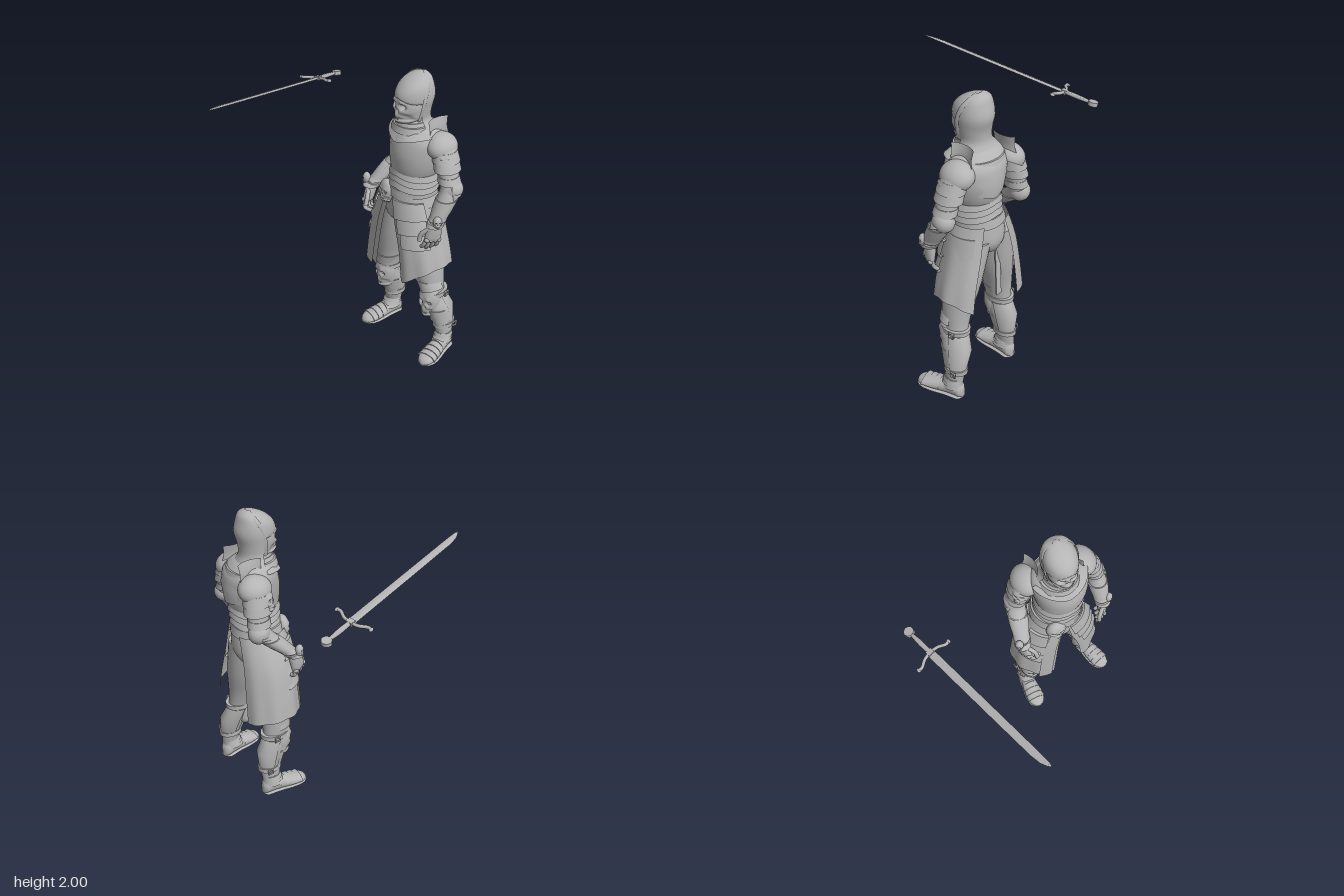
import * as THREE from 'three';
import { toCreasedNormals } from 'three/addons/utils/BufferGeometryUtils.js';

const metal = new THREE.MeshStandardMaterial({ color: 0xb4b4b4, side: THREE.DoubleSide });
metal.name = 'plain grey';
const D = Math.PI / 180;

function add(parent, name, geo, pos = [0, 0, 0], rot = [0, 0, 0], scale = [1, 1, 1]) {
  const m = new THREE.Mesh(geo, metal);
  m.name = name;
  m.position.set(...pos); m.rotation.set(...rot); m.scale.set(...scale);
  parent.add(m);
}

// Skin over elliptical rings [x, y, z, rx, rz, sideLift]; angle 0 faces +z, 90 faces +x.
function loft(rings, { a0 = 0, a1 = 360, sides = 32, steps = 4, yaw = 0, fold = 0 } = {}) {
  const full = a1 - a0 === 360, pos = [], idx = [], rows = [];
  const at = (i, k) => rings[Math.min(Math.max(i, 0), rings.length - 1)][k] || 0;
  for (let i = 0; i < rings.length - 1; i++) for (let s = 0; s < steps; s++) {
    const t = s / steps;
    rows.push([0, 1, 2, 3, 4, 5].map(k => {
      const [p, q, r, u] = [at(i - 1, k), at(i, k), at(i + 1, k), at(i + 2, k)];
      return steps === 1 ? q : q + 0.5 * t * (r - p + t * (2 * p - 5 * q + 4 * r - u + t * (3 * (q - r) + u - p)));
    }));
  }
  rows.push([0, 1, 2, 3, 4, 5].map(k => at(rings.length - 1, k)));
  const n = full ? sides : sides + 1;
  rows.forEach(([x, y, z, rx, rz, lift], j) => {
    for (let i = 0; i < n; i++) {
      const a = (a0 + (a1 - a0) * i / sides) * D;
      const w = 1 + fold * (j / rows.length) * Math.sin(a * 9);
      const lx = rx * w * Math.sin(a), lz = rz * w * Math.cos(a), c = Math.cos(yaw), s = Math.sin(yaw);
      pos.push(x + lx * c + lz * s, y + lift * Math.abs(Math.sin(a)), z + lz * c - lx * s);
    }
  });
  for (let j = 0; j < rows.length - 1; j++) for (let i = 0; i < sides; i++) {
    const a = j * n + i, b = j * n + (i + 1) % n;
    idx.push(a, a + n, b, b, a + n, b + n);
  }
  if (full) [0, rows.length - 1].forEach(j => {
    const c = pos.length / 3;
    pos.push(...rows[j].slice(0, 3));
    for (let i = 0; i < sides; i++) {
      const a = j * n + i, b = j * n + (i + 1) % n;
      j ? idx.push(c, b, a) : idx.push(c, a, b);
    }
  });
  const g = new THREE.BufferGeometry();
  g.setAttribute('position', new THREE.Float32BufferAttribute(pos, 3));
  // rings listed upward need reversed corners
  if (rings[0][1] < rings[rings.length - 1][1]) for (let i = 0; i < idx.length; i += 3) [idx[i], idx[i + 1]] = [idx[i + 1], idx[i]];
  g.setIndex(idx);
  return toCreasedNormals(g, 0.9);
}

// Plate band: a loft whose rims turn inward
function band(rings, opt = {}) {
  const lip = r => [r[0], r[1], r[2], r[3] * 0.86, r[4] * 0.86, r[5]];
  return loft([lip(rings[0]), ...rings, lip(rings[rings.length - 1])], { steps: 1, ...opt });
}

// Skull face: a sphere pressed in at the eyes, nose and cheeks, with a squared jaw
function skullGeometry() {
  const g = new THREE.SphereGeometry(1, 56, 44), p = g.attributes.position;
  for (let i = 0; i < p.count; i++) {
    let x = p.getX(i), y = p.getY(i), z = p.getZ(i);
    const dent = (cx, cy, w) => Math.exp(-(((Math.abs(x) - cx) / 1.3) ** 2 + (y - cy) ** 2) / w);
    const jaw = THREE.MathUtils.smoothstep(-y, 0.3, 0.8);
    if (z > 0) {
      z += 0.12 * dent(0.4, 0.26, 0.02) + 0.1 * dent(0.6, -0.22, 0.02) + 0.4 * jaw * (1 - Math.abs(x));
      z -= 0.42 * dent(0.4, 0.02, 0.02) + 0.2 * dent(0, -0.25, 0.01) + 0.2 * dent(0.65, -0.5, 0.03);
      z -= 0.14 * Math.exp(-((y + 0.62) ** 2) / 0.003);
    }
    p.setXYZ(i, x * (1 + 0.18 * jaw), y, z);
  }
  g.computeVertexNormals();
  return g;
}
const skullGeo = skullGeometry();
const toothGeo = new THREE.BoxGeometry(0.1, 0.17, 0.1);

function skull(parent, name, pos, scale, yaw, pitch = 0) {
  const g = new THREE.Group();
  g.name = name;
  g.position.set(...pos); g.scale.set(...scale); g.rotation.set(pitch, yaw, 0, 'YXZ');
  add(g, 'skullFace', skullGeo);
  for (let i = -2; i <= 2; i++) add(g, 'tooth', toothGeo, [i * 0.14, -0.6, 0.95 - 0.05 * i * i]);
  parent.add(g);
}

// Hand hanging from the wrist; curl bends the fingers, side is the thumb's x direction
function hand(parent, name, pos, rot, side, curl) {
  const g = new THREE.Group();
  g.name = name; g.position.set(...pos); g.rotation.set(...rot); g.scale.setScalar(1.15);
  add(g, 'palm', loft([[0, 0.01, 0, .028, .034], [0, -.03, 0, .03, .042], [0, -.09, 0, .024, .048], [0, -.105, 0, .015, .04]], { sides: 16 }));
  const digit = (n, pts, r) => add(g, n, new THREE.TubeGeometry(new THREE.CatmullRomCurve3(pts.map(p => new THREE.Vector3(...p))), 8, r, 8));
  for (let i = 0; i < 4; i++) {
    const z = 0.035 - i * 0.023, l = 0.085 - Math.abs(i - 1.2) * 0.01;
    digit('finger', [[0, -.09, z], [side * .012, -.1 - l * .5, z * 1.15], [side * (.012 + curl), -.1 - l * (1 - curl * 9), z * 1.15]], 0.0115);
    add(g, 'knuckle', new THREE.SphereGeometry(0.015, 10, 8), [-side * .008, -.095, z]);
  }
  digit('thumb', [[0, -.03, .03], [side * .02, -.07, .06], [side * .025, -.115, .065]], 0.0135);
  parent.add(g);
}

function head(k) {
  const g = new THREE.Group(); g.name = 'head';
  add(g, 'helmDome', loft([[.315, 1.995, -.425, .012, .01], [.315, 1.98, -.415, .055, .05], [.315, 1.945, -.395, .088, .09],
    [.315, 1.9, -.385, .104, .12], [.315, 1.865, -.382, .106, .13, -.03], [.315, 1.855, -.382, .09, .115, -.03]], { yaw: -.12 }));
  skull(g, 'faceMask', [.31, 1.805, -.35], [.094, .125, .1], -.15);
  add(g, 'hood', loft([[.315, 2, -.43, .02, .014], [.315, 1.975, -.43, .07, .05], [.315, 1.93, -.41, .1, .088], [.315, 1.86, -.395, .113, .118],
    [.313, 1.78, -.39, .105, .106], [.31, 1.71, -.395, .1, .1], [.31, 1.66, -.41, .13, .11]], { a0: 82, a1: 278, yaw: -.12 }));
  add(g, 'hoodCrest', loft([[.315, 2.0, -.425, .022, .014], [.315, 1.975, -.42, .074, .04], [.315, 1.93, -.4, .106, .05], [.315, 1.86, -.375, .116, .05],
    [.313, 1.78, -.365, .108, .05], [.31, 1.71, -.36, .09, .05]], { a0: 75, a1: 285, yaw: -.12 }));
  add(g, 'neck', loft([[.31, 1.8, -.39, .08, .085], [.31, 1.7, -.385, .083, .093], [.31, 1.6, -.41, .1, .11]]));
  [[1.7, .088, .105], [1.683, .1, .112], [1.66, .125, .125]].forEach(([y, rx, rz]) =>
    add(g, 'gorgetLame', band([[.308, y + .012, -.385, rx - .006, rz - .006], [.308, y - .03, -.392, rx + .012, rz + .012]])));
  k.add(g);
}

function torso(k) {
  const g = new THREE.Group(), yaw = -.13; g.name = 'torso';
  add(g, 'breastplate', loft([[.31, 1.68, -.41, .09, .09], [.315, 1.65, -.42, .15, .12], [.33, 1.59, -.425, .19, .16], [.335, 1.5, -.42, .185, .178],
    [.335, 1.42, -.415, .172, .172], [.33, 1.36, -.412, .157, .158], [.33, 1.33, -.412, .14, .14]], { sides: 40, yaw }));
  add(g, 'chestCollar', band([[.315, 1.645, -.415, .15, .135], [.325, 1.57, -.42, .187, .18, .06]], { a0: -80, a1: 80, yaw }));
  add(g, 'backplate', band([[.32, 1.63, -.43, .16, .14], [.335, 1.52, -.43, .175, .175], [.335, 1.4, -.425, .163, .168, .04]], { a0: 110, a1: 250, yaw }));
  add(g, 'waist', loft([[.33, 1.38, -.412, .145, .145], [.325, 1.27, -.41, .15, .148], [.31, 1.15, -.415, .165, .16], [.3, 1.05, -.42, .165, .16], [.29, .98, -.43, .1, .12]]));
  [[1.375, .16, .162], [1.33, .157, .159], [1.285, .158, .16]].forEach(([y, rx, rz], i) =>
    add(g, 'waistLame', band([[.33 - i * .004, y + .02, -.412, rx - .008, rz - .008, -.03], [.328 - i * .005, y - .035, -.412, rx + .006, rz + .005, -.03]])));
  add(g, 'belt', band([[.308, 1.235, -.413, .162, .16], [.303, 1.175, -.415, .172, .168]]));
  skull(g, 'beltSkull', [.225, 1.18, -.275], [.066, .078, .045], -.2);
  add(g, 'groinCloth', loft([[.25, 1.1, -.4, .09, .14], [.25, 1.0, -.4, .075, .12], [.26, .92, -.42, .03, .06]]));
  add(g, 'rearCloth', new THREE.BoxGeometry(.045, .44, .008), [.238, .83, -.53], [.06, 0, 0]);
  k.add(g);
}

function skirt(k) {
  const g = new THREE.Group(); g.name = 'skirt';
  const L = [[.315, 1.2, -.415, .17, .168], [.35, 1.0, -.42, .185, .178], [.405, .8, -.425, .185, .186], [.435, .57, -.43, .178, .19, .14]];
  const R = [[.27, 1.2, -.415, .145, .168], [.22, 1.0, -.42, .18, .178], [.195, .8, -.425, .195, .188], [.175, .59, -.43, .195, .195, .05]];
  add(g, 'leftSkirtPanel', loft(L, { a0: -6, a1: 148, fold: .025, sides: 48 }));
  add(g, 'rightSkirtPanel', loft(R, { a0: -172, a1: 4, fold: .025, sides: 48 }));
  add(g, 'frontStrip', loft(R.map(([x, y, z, a, b]) => [x, y, z, a + .012, b + .014]), { a0: -30, a1: -4, sides: 10 }));
  // overlapping thigh lames
  for (let i = 0; i < 3; i++) {
    const y = 1.17 - i * .1, x = .32 + i * .022;
    add(g, 'leftThighLame', band([[x, y, -.415, .183, .18], [x + .03, y - .13, -.42, .2, .196, .03]], { a0: -2 + i * 5, a1: 66 }));
    const u = .25 - i * .02;
    add(g, 'rightThighLame', band([[u, y - .03, -.415, .17, .185], [u - .02, y - .15, -.42, .19, .203, .02]], { a0: -78, a1: -32 }));
  }
  add(g, 'leftHipPlate', band([[.32, 1.13, -.42, .185, .18], [.36, .9, -.42, .195, .19]], { a0: 75, a1: 130 }));
  k.add(g);
}

// Leg rings from hip to ankle; o is the outer direction in x
function leg(k, name, xs, o, footYaw) {
  const g = new THREE.Group(); g.name = name;
  const ys = [1.08, .8, .6, .45, .35, .22, .08];
  const shape = [[-.43, .105, .14], [-.43, .11, .125], [-.43, .087, .1], [-.44, .068, .09], [-.475, .073, .1], [-.495, .056, .072], [-.5, .045, .055]];
  const ring = (i, e = 0) => [xs[i], ys[i], shape[i][0], shape[i][1] + e, shape[i][2] + e];
  add(g, 'trouserAndGreave', loft(ys.map((_, i) => ring(i)), { sides: 28 }));
  add(g, 'shinPlate', band([ring(4, .006), ring(5, .006), [xs[6], .13, -.5, .05, .06]], { a0: -80, a1: 80 }));
  add(g, 'calfPlate', band([ring(3, .006), ring(4, .008), ring(5, .006)], { a0: 95, a1: 265 }));
  add(g, 'kneeCuff', band([[xs[2], .58, -.425, .085, .1], [xs[3], .5, -.435, .08, .1, .03]], { a0: -100, a1: 100 }));
  skull(g, 'kneeSkull', [xs[3] + o * .003, .42, -.41], [.075, .135, .072], footYaw * .8, .12);
  add(g, 'kneePoint', new THREE.ConeGeometry(.05, .12, 4), [xs[4], .29, -.405], [Math.PI + .1, 0, 0], [1, 1, .5]);
  [[.475, 3, .012], [.215, 5, .01]].forEach(([y, i, e]) => {
    const r = ring(i, e);
    add(g, 'legStrap', band([[r[0], y + .016, r[2] - .005, r[3], r[4]], [r[0], y - .016, r[2] - .005, r[3], r[4]]]));
    add(g, 'strapBuckle', new THREE.TorusGeometry(.022, .007, 6, 4), [r[0] + o * (r[3] + .003), y, r[2] - .04], [0, Math.PI / 2, Math.PI / 4]);
  });
  // foot, built along its length and laid flat
  const f = new THREE.Group(); f.name = 'foot';
  f.position.set(xs[6], 0, -.5); f.rotation.set(Math.PI / 2, 0, -footYaw);
  const rows = [[-.065, .02, .04], [-.045, .043, .055], [0, .046, .062], [.06, .05, .053], [.13, .06, .04], [.2, .06, .03], [.245, .04, .022], [.262, .012, .012]];
  add(f, 'boot', loft(rows.map(([y, w, h]) => [0, y, -h, w, h]), { sides: 24 }));
  [[.07, .052, .053], [.11, .059, .046], [.15, .063, .04], [.19, .064, .034]].forEach(([y, w, h]) =>
    add(f, 'footLame', band([[0, y - .02, -h, w - .003, h + .003], [0, y + .02, -h + .003, w + .003, h]], { a0: 85, a1: 275 })));
  add(f, 'sole', loft(rows.map(([y, w]) => [0, y, -.009, w + .006, .009]), { sides: 16 }));
  g.add(f);
  [.15, .125, .1].forEach((y, i) => add(g, 'ankleLame', band([[xs[6], y, -.495, .052, .06], [xs[6], y - .03, -.49 + i * .004, .06, .068 + i * .005]])));
  k.add(g);
}

// Arm from shoulder a through elbow b to wrist c
function arm(k, name, a, b, c, o, skullYaw, handRot, curl) {
  const g = new THREE.Group(); g.name = name;
  const mix = (p, q, t, e, f) => [0, 1, 2].map(i => p[i] + (q[i] - p[i]) * t).concat(e, f);
  add(g, 'armSleeve', loft([mix(a, b, -.1, .05, .06), mix(a, b, .1, .072, .082), mix(a, b, .5, .063, .072), mix(a, b, .9, .057, .065),
    mix(b, c, .15, .059, .067), mix(b, c, .45, .06, .065), mix(b, c, .85, .044, .048), mix(b, c, 1.05, .035, .04)], { sides: 24 }));
  add(g, 'pauldron', new THREE.SphereGeometry(1, 28, 20, 0, 6.2832, 0, 1.9), [a[0] - o * .015, a[1] - .025, a[2]], [0, 0, -o * .55], [.096, .083, .108]);
  [0, 1].forEach(i => add(g, 'shoulderLame', band([mix(a, b, .12 + i * .2, .073, .085), mix(a, b, .36 + i * .2, .08 - i * .005, .092)])));
  skull(g, 'shoulderSkull', [a[0] + o * .042, a[1] - .085, a[2] + .035], [.056, .078, .048], skullYaw, -.15);
  // upright guard between the shoulder and the neck
  add(g, 'shoulderGuard', loft([[a[0] - o * .02, a[1] + .14, a[2], .065, .1], [a[0] - o * .02, a[1] + .08, a[2], .052, .09], [a[0], a[1] + .03, a[2], .07, .1]],
    { a0: -o * 90 - 55, a1: -o * 90 + 55, sides: 14 }));
  add(g, 'elbowCop', new THREE.SphereGeometry(1, 20, 14), [b[0] + o * .006, b[1], b[2] - .01], [0, 0, 0], [.064, .068, .07]);
  add(g, 'elbowWing', new THREE.ConeGeometry(.05, .11, 4), [b[0] + o * .036, b[1] + .02, b[2] + .02], [.3, .6, o * .2], [.7, 1, 1]);
  add(g, 'upperArmBand', band([mix(a, b, .68, .064, .072), mix(a, b, .84, .068, .076)]));
  add(g, 'vambrace', band([mix(b, c, .25, .067, .072), mix(b, c, .55, .062, .066), mix(b, c, .85, .05, .054)]));
  [.8, .97].forEach(t => add(g, 'wristRing', band([mix(b, c, t - .05, .054, .057), mix(b, c, t + .06, .054, .057)])));
  skull(g, 'wristSkull', [c[0] + o * .035, c[1] + .04, c[2] + .02], [.028, .038, .026], skullYaw);
  hand(g, 'hand', c, handRot, -o, curl);
  k.add(g);
}

function sword(root) {
  const g = new THREE.Group(); g.name = 'sword';
  const dir = new THREE.Vector3(.188, .155, .974).normalize();
  const side = new THREE.Vector3(.967, .158, -.197);
  side.addScaledVector(dir, -side.dot(dir)).normalize();
  g.quaternion.setFromRotationMatrix(new THREE.Matrix4().makeBasis(side, dir, side.clone().cross(dir)));
  g.position.set(-.587, 1.638, -.37);
  // blade of diamond section
  add(g, 'blade', loft([[0, 0, 0, .025, .007], [0, .5, 0, .025, .006], [0, .9, 0, .024, .005], [.003, .97, 0, .02, .004], [.009, 1.01, 0, .012, .003], [.014, 1.035, 0, .001, .001]], { sides: 4, steps: 1 }));
  const v = (x, y) => new THREE.Vector3(x, y, 0);
  add(g, 'guard', new THREE.TubeGeometry(new THREE.CatmullRomCurve3([v(-.127, .028), v(-.1, .033), v(-.05, .006), v(0, 0), v(.05, .006), v(.1, .033), v(.127, .028)]), 32, .0105, 10));
  [-1, 1].forEach(s => add(g, 'guardTip', new THREE.SphereGeometry(.014, 10, 8), [s * .122, .03, 0], [0, 0, 0], [.8, 1.2, .8]));
  add(g, 'guardBlock', new THREE.BoxGeometry(.04, .035, .026));
  add(g, 'grip', loft([[0, -.17, 0, .011, .011], [0, -.09, 0, .017, .014], [0, 0, 0, .014, .013]], { sides: 14 }));
  add(g, 'pommel', new THREE.CylinderGeometry(.031, .031, .026, 24), [0, -.2, 0], [Math.PI / 2, 0, 0]);
  skull(g, 'pommelSkull', [0, -.2, .006], [.022, .026, .018], 0);
  root.add(g);
}

export function createModel() {
  const root = new THREE.Group(), knight = new THREE.Group();
  root.name = 'knightAndSword'; knight.name = 'knight';
  root.add(knight);
  head(knight);
  torso(knight);
  skirt(knight);
  leg(knight, 'leftLeg', [.38, .45, .5, .53, .56, .59, .605], 1, .2);
  leg(knight, 'rightLeg', [.2, .15, .115, .105, .107, .107, .095], -1, -.12);
  arm(knight, 'leftArm', [.525, 1.585, -.44], [.62, 1.31, -.43], [.615, 1.095, -.32], 1, 1.0, [-.12, -.4, -.05], .02);
  arm(knight, 'rightArm', [.135, 1.585, -.51], [.08, 1.3, -.535], [.01, 1.1, -.34], -1, -.9, [-.3, .3, 0], .05);
  sword(root);
  return root;
}
